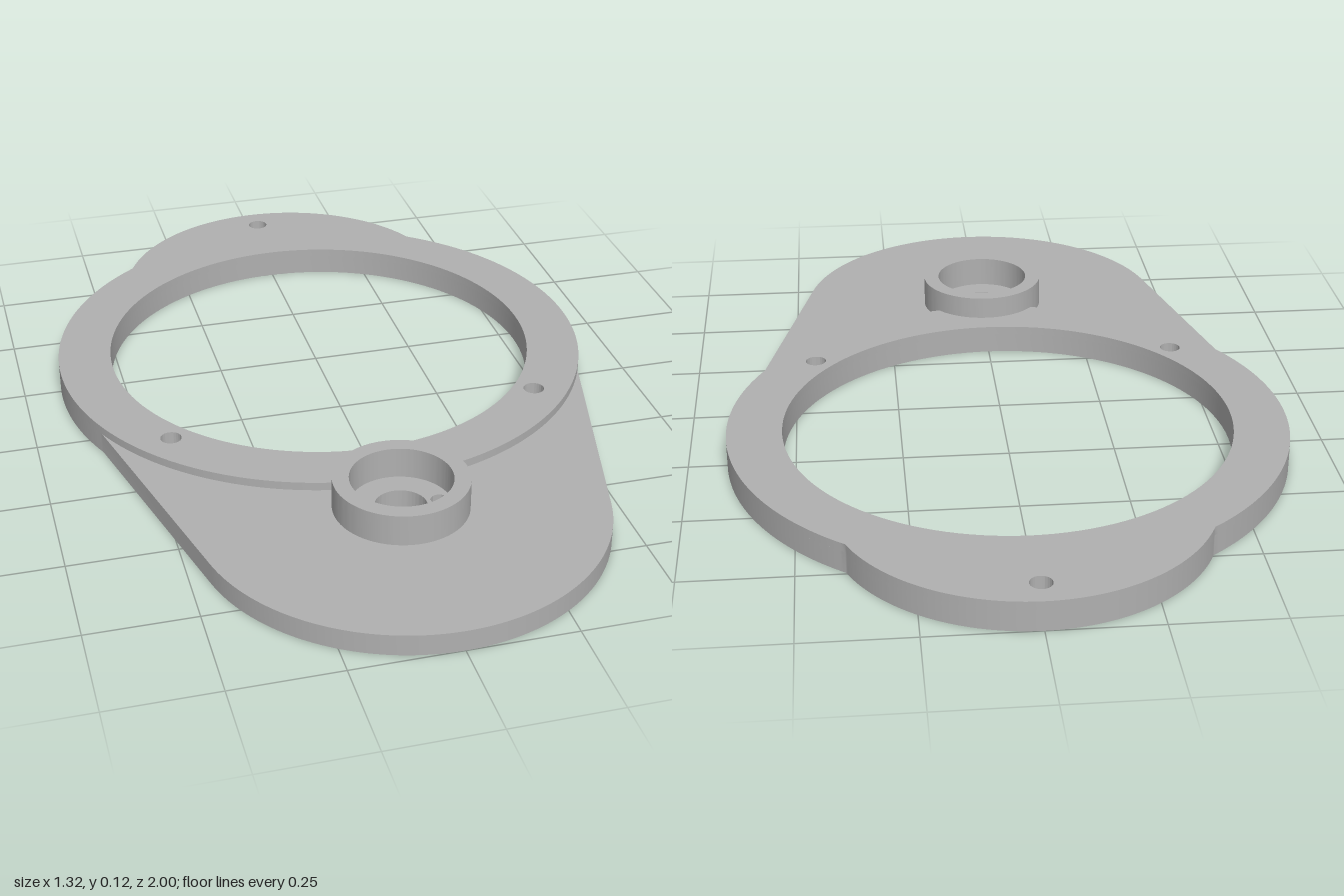
import * as THREE from 'three';
import { toCreasedNormals } from 'three/addons/utils/BufferGeometryUtils.js';

// Plan coordinates: shape x = model x, shape y = -z
const RING = { y: 0.215, r: 0.66 };
const LOBE = { y: 0.57, r: 0.43 };
const TAIL = { y: -0.53, r: 0.47 };
const BORE = 0.53;

// Half-height and offset of the chord shared by two circles a distance d apart
function chord(d, r1, r2) {
  const along = (d * d + r1 * r1 - r2 * r2) / (2 * d);
  return { along, half: Math.sqrt(r1 * r1 - along * along) };
}

function circle(x, y, r) {
  return new THREE.Path().absarc(x, y, r, 0, Math.PI * 2, true);
}

// Flat plate lying between two heights, with smooth curved walls
function plate(shape, bottom, top) {
  const geo = new THREE.ExtrudeGeometry(shape, {
    depth: top - bottom, bevelEnabled: false, curveSegments: 64,
  });
  geo.rotateX(-Math.PI / 2).translate(0, bottom, 0);
  return toCreasedNormals(geo, 0.5);
}

// Ring flanks and the rounded lobe, counter-clockwise from one side to the other
function addRingAndLobe(shape, startAngle) {
  const d = LOBE.y - RING.y;
  const c = chord(d, RING.r, LOBE.r);
  const a = Math.atan2(c.along, c.half);
  const b = Math.atan2(c.along - d, c.half);
  shape.absarc(0, RING.y, RING.r, startAngle, a, false);
  shape.absarc(0, LOBE.y, LOBE.r, b, Math.PI - b, false);
  shape.absarc(0, RING.y, RING.r, Math.PI - a, Math.PI - startAngle, false);
}

function addRingHoles(shape) {
  shape.holes.push(circle(0, RING.y, BORE), circle(0, 0.93, 0.025));
  for (const s of [-1, 1]) shape.holes.push(circle(s * 0.45, -0.15, 0.025));
}

export function createModel() {
  const group = new THREE.Group();
  const grey = new THREE.MeshStandardMaterial({ color: 0xb0b0b0 });
  grey.name = 'grey';
  const add = (name, geo) => {
    const mesh = new THREE.Mesh(geo, grey);
    mesh.name = name;
    group.add(mesh);
  };

  // Base plate: ring, lobe and tapering tail
  const base = new THREE.Shape();
  const t = 0.241;
  base.absarc(0, TAIL.y, TAIL.r, Math.PI + t, Math.PI * 2 - t, false);
  addRingAndLobe(base, -0.43);
  addRingHoles(base);
  base.holes.push(circle(0, TAIL.y, 0.06));
  for (const s of [-1, 1]) base.holes.push(circle(s * 0.09, TAIL.y, 0.02));
  add('basePlate', plate(base, 0, 0.05));

  // Raised ring, notched where the boss stands
  const raised = new THREE.Shape();
  const notchR = 0.135;
  const n = chord(RING.y - TAIL.y, RING.r, notchR);
  const ringAngle = -Math.atan2(n.along, n.half);
  const notchAngle = Math.atan2(RING.y - TAIL.y - n.along, n.half);
  addRingAndLobe(raised, ringAngle);
  raised.absarc(0, TAIL.y, notchR, Math.PI - notchAngle, notchAngle, true);
  addRingHoles(raised);
  add('raisedRing', plate(raised, 0.05, 0.07));

  // Hollow boss on the tail
  const boss = new THREE.Shape();
  boss.absarc(0, TAIL.y, 0.155, 0, Math.PI * 2, false);
  boss.holes.push(circle(0, TAIL.y, 0.117));
  add('boss', plate(boss, 0.05, 0.125));

  return group;
}
